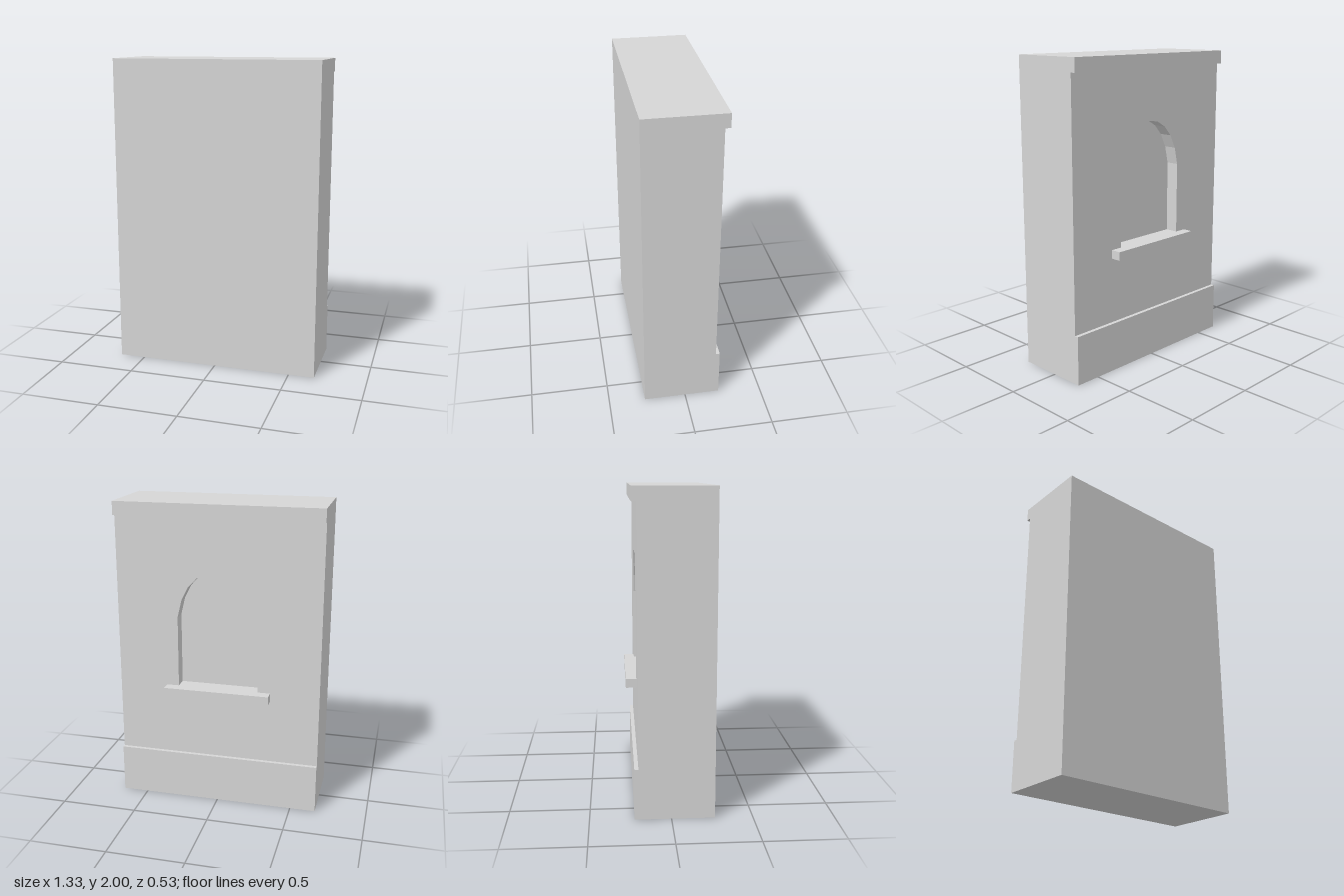
import * as THREE from 'three';

const W = 1.333, H = 2;
const FRONT = 0.267, WALL = -0.2, NICHE_BACK = -0.115;
const SILL_Y = 0.8, SPRING_Y = 1.267, NICHE_HALF = 0.265;

export function createModel() {
  const group = new THREE.Group();
  const stone = new THREE.MeshStandardMaterial({ color: 0xd5d5d5 });
  stone.name = 'light grey stone';

  const add = (name, geometry) => {
    const mesh = new THREE.Mesh(geometry, stone);
    mesh.name = name;
    group.add(mesh);
    return mesh;
  };

  // Box given by its width, height range and depth range
  const block = (name, width, y0, y1, z0, z1) =>
    add(name, new THREE.BoxGeometry(width, y1 - y0, z1 - z0))
      .position.set(0, (y0 + y1) / 2, (z0 + z1) / 2);

  // Solid core, whose rear face is also the back of the niche
  block('wallCore', W, 0, H, NICHE_BACK, FRONT);

  // Rear wall layer with an arched opening
  const wall = new THREE.Shape();
  wall.moveTo(-W / 2, 0);
  wall.lineTo(W / 2, 0);
  wall.lineTo(W / 2, H);
  wall.lineTo(-W / 2, H);
  wall.closePath();

  const arch = new THREE.Path();
  arch.moveTo(NICHE_HALF, SILL_Y);
  arch.lineTo(-NICHE_HALF, SILL_Y);
  arch.lineTo(-NICHE_HALF, SPRING_Y);
  arch.bezierCurveTo(-0.21, SPRING_Y + 0.417, 0.21, SPRING_Y + 0.417, NICHE_HALF, SPRING_Y);
  arch.closePath();
  wall.holes.push(arch);

  add('nichedWall', new THREE.ExtrudeGeometry(wall, {
    depth: NICHE_BACK - WALL, bevelEnabled: false, curveSegments: 10,
  })).position.z = WALL;

  // Projecting bands and window sill
  block('plinth', W, 0, 0.32, -0.225, WALL);
  block('cornice', W, 1.913, H, -0.233, WALL);
  block('sill', 0.693, 0.744, SILL_Y, -0.267, WALL);

  return group;
}
